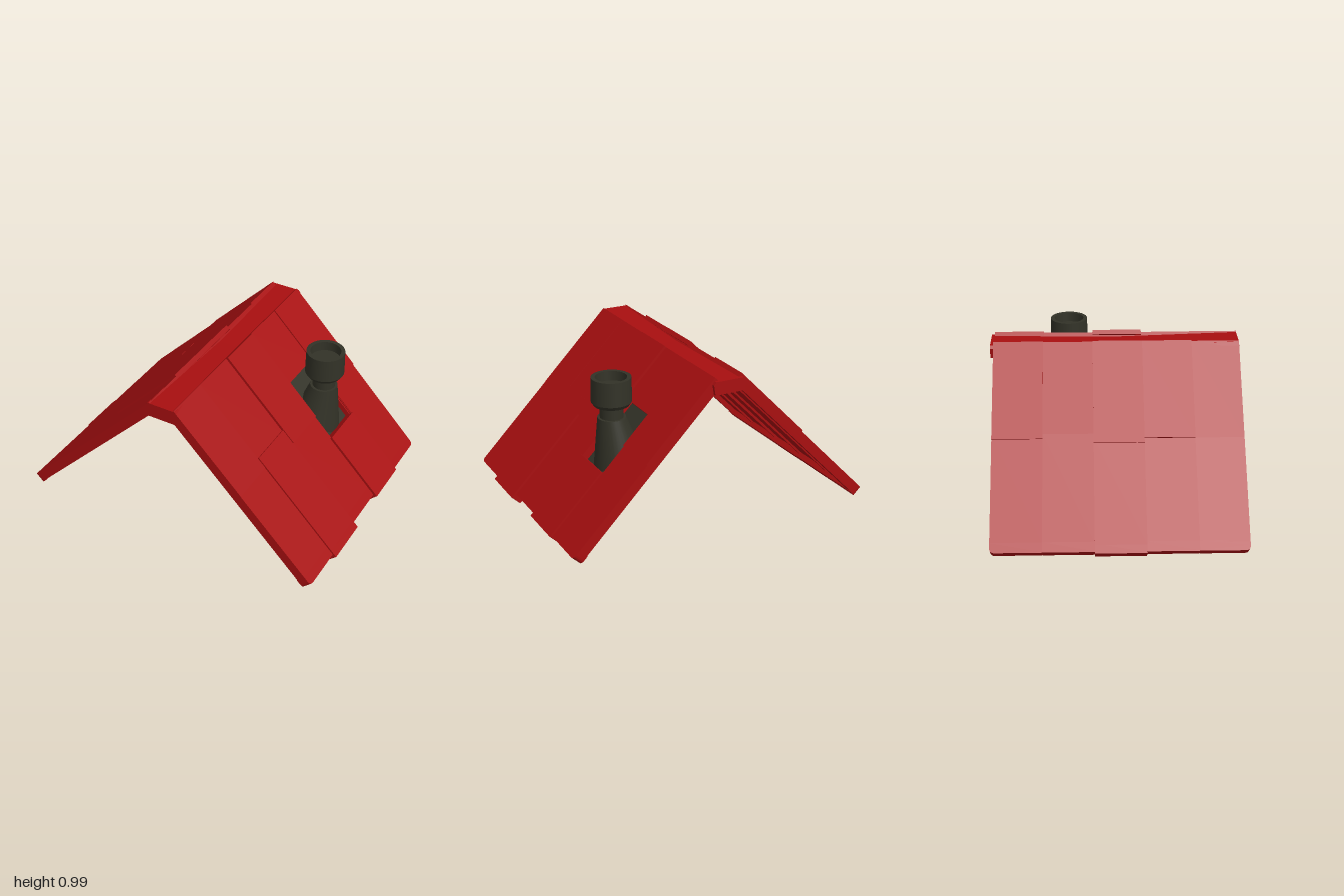
import * as THREE from 'three';

const red = new THREE.MeshStandardMaterial({ color: 0xa80f10 });
red.name = 'roofRed';
const dark = new THREE.MeshStandardMaterial({ color: 0x323227 });
dark.name = 'chimneyDark';

const SLOPE = Math.atan2(0.915, 0.9);
const LENGTH = 1.28;

function add(parent, name, geometry, material) {
  const mesh = new THREE.Mesh(geometry, material);
  mesh.name = name;
  parent.add(mesh);
  return mesh;
}

// Box given by its limits: u runs down the slope, v points out of it
function slab(parent, name, u0, u1, v0, v1, z0, z1, material = red) {
  const mesh = add(parent, name, new THREE.BoxGeometry(u1 - u0, v1 - v0, z1 - z0), material);
  mesh.position.set((u0 + u1) / 2, (v0 + v1) / 2, (z0 + z1) / 2);
  return mesh;
}

// Flat plate whose two eave corners may be rounded
function eavePlate(parent, name, u0, u1, v0, v1, z0, z1, r0, r1) {
  const s = new THREE.Shape();
  s.moveTo(u0, -z1);
  s.lineTo(u1 - r1, -z1);
  s.quadraticCurveTo(u1, -z1, u1, -z1 + r1);
  s.lineTo(u1, -z0 - r0);
  s.quadraticCurveTo(u1, -z0, u1 - r0, -z0);
  s.lineTo(u0, -z0);
  const g = new THREE.ExtrudeGeometry(s, { depth: v1 - v0, bevelEnabled: false, curveSegments: 5 });
  g.rotateX(-Math.PI / 2).translate(0, v0, 0);
  return add(parent, name, g, red);
}

// One slope: strips of an upper and a lower sheet over a hollow, ribbed back
// strip: [z0, z1, upper lift, lower lift, upper end, lower start, eave extension]
function roofSide(name, strips) {
  const side = new THREE.Group();
  side.name = name;
  const zMin = strips[0][0], zMax = strips[strips.length - 1][1];
  strips.forEach(([z0, z1, upLift, lowLift, upEnd, lowStart, extra], i) => {
    const r0 = i === 0 ? 0.03 : 0.004;
    const r1 = i === strips.length - 1 ? 0.03 : 0.004;
    const end = LENGTH + extra;
    slab(side, 'upperSheet', -0.02, upEnd, upLift - 0.03, upLift, z0, z1);
    slab(side, 'lowerSheet', lowStart, end - 0.05, lowLift - 0.03, lowLift, z0, z1);
    eavePlate(side, 'eaveRim', end - 0.06, end, -0.066, lowLift, z0, z1, r0, r1);
    if (i > 0) slab(side, 'seamRib', 0, LENGTH - 0.05, -0.042, -0.01, z0 - 0.012, z0 + 0.012);
  });
  // Thick frame round the hollow back
  slab(side, 'gableRim', 0, LENGTH - 0.05, -0.062, -0.02, zMin, zMin + 0.045);
  slab(side, 'gableRim', 0, LENGTH - 0.05, -0.062, -0.02, zMax - 0.045, zMax);
  slab(side, 'ridgeRim', -0.02, 0.05, -0.062, -0.02, zMin, zMax);
  return side;
}

export function createModel() {
  const model = new THREE.Group();
  model.name = 'roofWithChimney';

  // Chimney-side slope, its fourth opening left free for the flashing
  const left = roofSide('leftSlope', [
    [-0.74, -0.44, 0.008, 0.0, 0.60, 0.57, -0.015],
    [-0.44, -0.14, 0.0, 0.012, 0.37, 0.80, -0.005],
    [-0.14, 0.16, 0.016, -0.004, 0.63, 0.60, -0.025],
    [0.16, 0.46, 0.0, 0.01, 0.56, 0.53, 0.008],
    [0.46, 0.75, 0.002, 0.0, 0.60, 0.57, -0.015],
  ]);
  left.position.set(0.09, 0.975, 0);
  left.rotation.z = -SLOPE;
  slab(left, 'flashing', 0.34, 0.86, -0.062, -0.051, -0.45, -0.13, dark);
  slab(left, 'openingEdge', 0.33, 0.37, -0.06, -0.01, -0.44, -0.14);
  slab(left, 'openingEdge', 0.80, 0.84, -0.06, -0.01, -0.44, -0.14);
  for (const z of [-0.44, -0.14]) {
    slab(left, 'openingEdge', 0.35, 0.82, -0.06, -0.004, z - 0.012, z + 0.004);
  }
  model.add(left);

  // Opposite slope, turned half round (z runs the other way inside it)
  const right = roofSide('rightSlope', [
    [-0.75, -0.46, 0.0, 0.0, 0.60, 0.57, 0],
    [-0.46, -0.16, 0.012, 0.0, 0.60, 0.57, 0],
    [-0.16, 0.14, 0.013, 0.004, 0.63, 0.60, 0.01],
    [0.14, 0.44, 0.0, 0.001, 0.60, 0.57, 0],
    [0.44, 0.74, 0.008, 0.0, 0.60, 0.57, 0],
  ]);
  right.rotation.z = -SLOPE;
  const turn = new THREE.Group();
  turn.name = 'rightSide';
  right.position.set(0.1, 0.975, 0);
  turn.rotation.y = Math.PI;
  turn.add(right);
  model.add(turn);

  // Ridge cap, sagging gently in the middle and chamfered at the top
  const profile = new THREE.Shape([
    [-0.1, 0.895], [0.09, 0.895], [0.1, 0.96], [0.085, 0.978], [-0.095, 0.978], [-0.11, 0.96],
  ].map(([x, y]) => new THREE.Vector2(x, y)));
  const cap = new THREE.ExtrudeGeometry(profile, { depth: 1.51, steps: 6, bevelEnabled: false });
  cap.translate(0, 0, -0.76);
  const p = cap.attributes.position;
  for (let i = 0; i < p.count; i++) {
    if (p.getY(i) < 0.93) continue;
    const z = p.getZ(i);
    p.setY(i, p.getY(i) - 0.01 + (z > 0 ? 0.017 : 0.007) * Math.abs(z) / 0.75);
  }
  cap.computeVertexNormals();
  add(model, 'ridgeCap', cap, red);

  // Chimney: leaning skirt, neck and hollow collar
  const chimney = new THREE.Group();
  chimney.name = 'chimney';
  chimney.position.set(0.515, 0, -0.29);
  const skirt = new THREE.CylinderGeometry(0.085, 0.167, 0.33, 32);
  skirt.translate(0, 0.515, 0);
  skirt.applyMatrix4(new THREE.Matrix4().set(
    1, 0.176, 0, -0.176 * 0.68,
    0, 1, 0, 0,
    0, 0, 1, 0,
    0, 0, 0, 1));
  add(chimney, 'skirt', skirt, dark);
  const neck = add(chimney, 'neck', new THREE.CylinderGeometry(0.07, 0.07, 0.12, 32), dark);
  neck.position.y = 0.73;
  const rings = [[0.001, 0.757], [0.105, 0.757], [0.121, 0.78], [0.118, 0.928], [0.094, 0.928], [0.092, 0.87], [0.001, 0.87]];
  for (let i = 0; i < rings.length - 1; i++) {
    const pts = [rings[i], rings[i + 1]].map(([r, y]) => new THREE.Vector2(r, y));
    add(chimney, 'collar', new THREE.LatheGeometry(pts, 32), dark);
  }
  model.add(chimney);
  return model;
}
